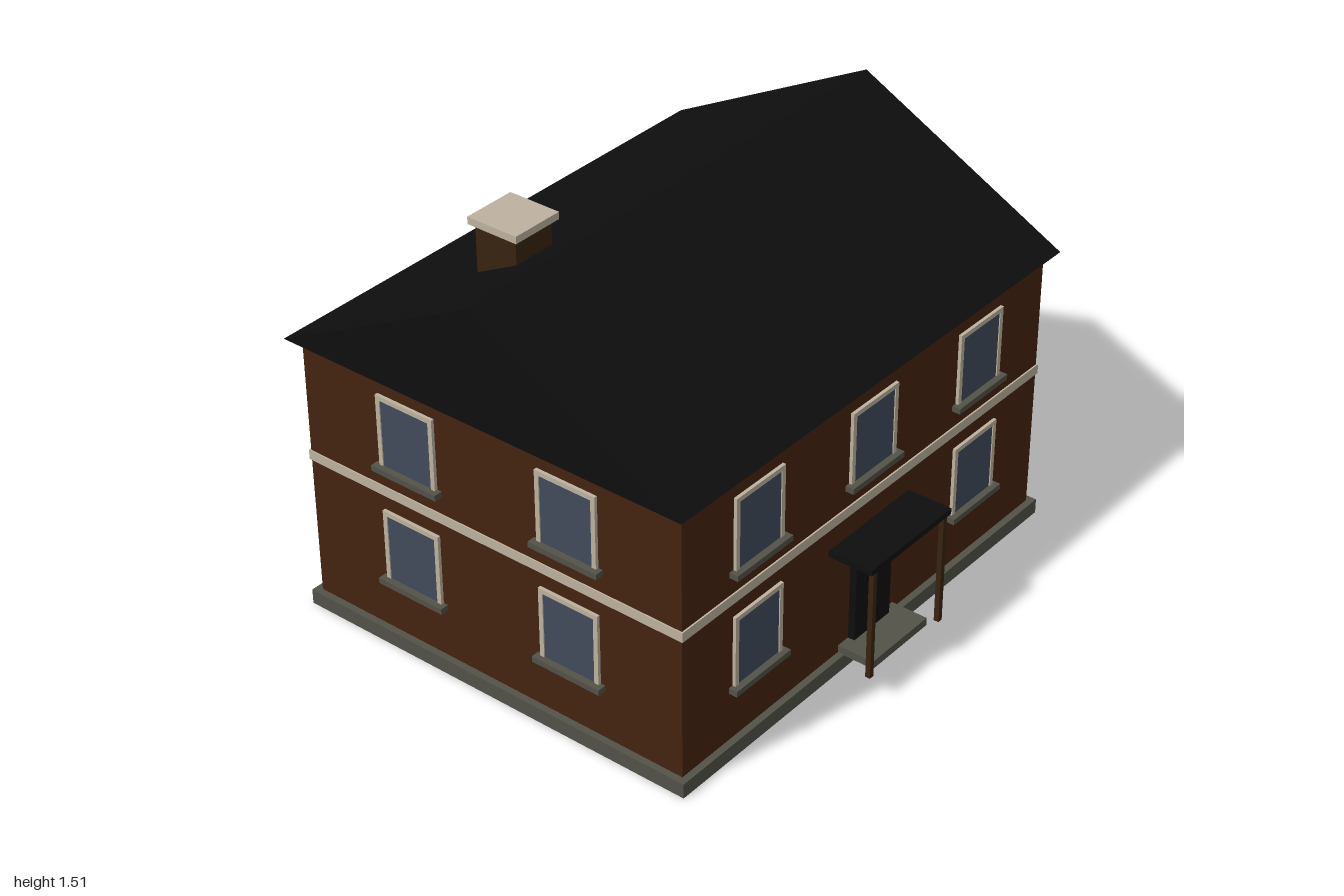
import * as THREE from 'three';

const mat = (name, color) => {
  const m = new THREE.MeshStandardMaterial({ color });
  m.name = name;
  return m;
};

const MID_Z = -0.066; // centre line of the house
const HALF_X = 0.955; // wall half width
const HALF_Z = 0.775; // wall half depth

export function createModel() {
  const brick = mat('brick', 0x45230f);
  const stone = mat('greyStone', 0x525248);
  const trim = mat('creamTrim', 0xbdb29f);
  const glass = mat('windowGlass', 0x414b5a);
  const roofBlack = mat('roofBlack', 0x0e0e0e);
  const timber = mat('darkTimber', 0x38230f);

  const house = new THREE.Group();
  house.name = 'house';

  // Box given by its size and centre
  const box = (name, material, [w, h, d], [x, y, z], parent = house) => {
    const mesh = new THREE.Mesh(new THREE.BoxGeometry(w, h, d), material);
    mesh.name = name;
    mesh.position.set(x, y, z);
    parent.add(mesh);
    return mesh;
  };

  // Main body
  box('plinth', stone, [1.96, 0.055, 1.6], [0, 0.0275, MID_Z]);
  box('walls', brick, [HALF_X * 2, 1.0, HALF_Z * 2], [0, 0.55, MID_Z]);
  box('stringCourse', trim, [1.92, 0.036, 1.562], [0, 0.599, MID_Z]);

  // Gabled roof: triangle extruded along x
  const gable = new THREE.Shape();
  gable.moveTo(-0.811, 0);
  gable.lineTo(0.811, 0);
  gable.lineTo(0, 0.42);
  gable.closePath();
  const roofGeo = new THREE.ExtrudeGeometry(gable, { depth: 2, bevelEnabled: false });
  roofGeo.translate(0, 0, -1);
  roofGeo.rotateY(Math.PI / 2);
  const roof = new THREE.Mesh(roofGeo, roofBlack);
  roof.name = 'roof';
  roof.position.set(0, 1.05, MID_Z);
  house.add(roof);

  // Chimney
  box('chimneyStack', timber, [0.166, 0.33, 0.166], [-0.55, 1.325, -0.285]);
  box('chimneyCap', trim, [0.2, 0.026, 0.2], [-0.55, 1.501, -0.285]);

  // Window frame with an opening
  const frameShape = new THREE.Shape();
  frameShape.moveTo(-0.12, 0);
  frameShape.lineTo(0.12, 0);
  frameShape.lineTo(0.12, 0.278);
  frameShape.lineTo(-0.12, 0.278);
  frameShape.closePath();
  const opening = new THREE.Path();
  opening.moveTo(-0.103, 0.012);
  opening.lineTo(-0.103, 0.261);
  opening.lineTo(0.103, 0.261);
  opening.lineTo(0.103, 0.012);
  opening.closePath();
  frameShape.holes.push(opening);
  const frameGeo = new THREE.ExtrudeGeometry(frameShape, { depth: 0.012, bevelEnabled: false });

  // Window standing on y, facing outwards at the given turn
  const addWindow = (name, x, y, z, turn) => {
    const win = new THREE.Group();
    win.name = name;
    const frame = new THREE.Mesh(frameGeo, trim);
    frame.name = 'windowFrame';
    win.add(frame);
    box('windowPane', glass, [0.206, 0.25, 0.008], [0, 0.136, 0.004], win);
    box('windowSill', stone, [0.275, 0.021, 0.032], [0, 0.003, 0.016], win);
    win.position.set(x, y, z);
    win.rotation.y = turn;
    house.add(win);
  };

  const frontZ = MID_Z + HALF_Z;
  const backZ = MID_Z - HALF_Z;
  const UPPER = 0.691;
  const LOWER = 0.248;
  for (const x of [-0.588, 0, 0.588]) {
    addWindow('frontUpperWindow', x, UPPER, frontZ, 0);
    addWindow('backUpperWindow', x, UPPER, backZ, Math.PI);
    if (x !== 0) addWindow('frontLowerWindow', x, LOWER, frontZ, 0);
    if (x < 0) addWindow('backLowerWindow', x, LOWER, backZ, Math.PI);
  }
  for (const side of [-1, 1]) {
    for (const dz of [-0.331, 0.331]) {
      for (const y of [LOWER, UPPER]) {
        addWindow('sideWindow', side * HALF_X, y, MID_Z + dz, side * Math.PI / 2);
      }
    }
  }

  // Doors
  box('frontDoor', roofBlack, [0.194, 0.384, 0.026], [0, 0.247, frontZ + 0.013]);
  box('backDoor', roofBlack, [0.195, 0.372, 0.022], [0.55, 0.241, backZ - 0.011]);

  // Porch
  box('doorStep', stone, [0.3, 0.03, 0.14], [0, 0.067, 0.779]);
  box('porchCanopy', roofBlack, [0.436, 0.022, 0.169], [0, 0.487, 0.7935]);
  for (const side of [-1, 1]) {
    box('porchPost', timber, [0.019, 0.42, 0.019], [side * 0.192, 0.267, 0.865]);
  }

  return house;
}
